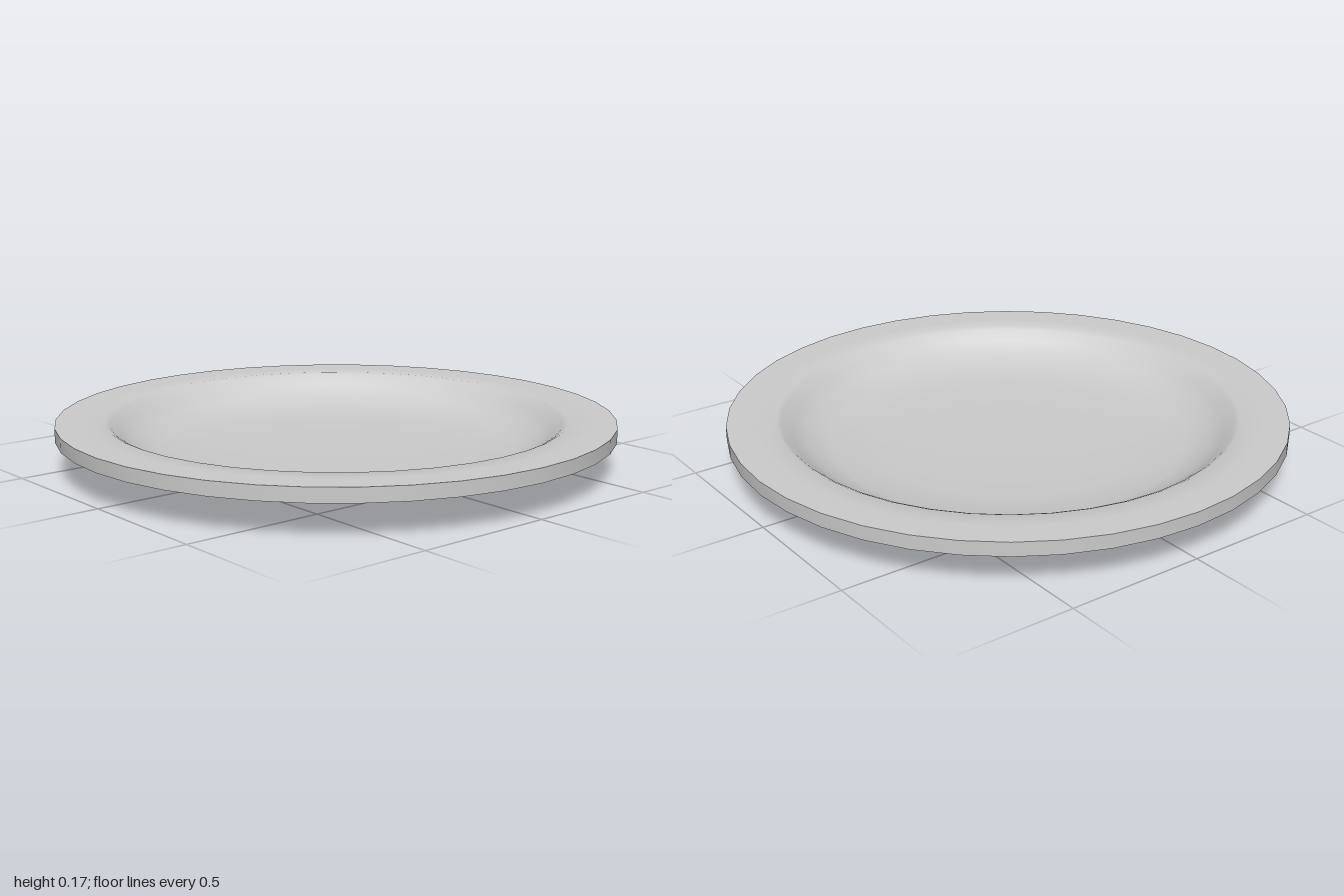
import * as THREE from 'three';
import { toCreasedNormals } from 'three/addons/utils/BufferGeometryUtils.js';

const SEGMENTS = 40;

export function createModel() {
  const group = new THREE.Group();
  group.name = 'plate';

  // Closed cross-section: underside from the centre outwards, then back over the top
  const profile = [
    // underside
    [0, 0], [0.3, 0], [0.48, 0.006], [0.65, 0.02], [0.75, 0.065],
    [0.81, 0.102], [0.84, 0.113], [0.89, 0.118], [1, 0.118],
    // outer edge and flat rim
    [1, 0.168], [0.9, 0.168], [0.825, 0.168],
    // sloping wall and shallow floor
    [0.808, 0.16], [0.77, 0.127], [0.72, 0.093], [0.64, 0.065], [0.48, 0.054], [0.3, 0.05], [0, 0.05],
  ].map(([r, y]) => new THREE.Vector2(r, y));

  // Smooth surface with sharp edges only around the outer edge
  const geometry = toCreasedNormals(new THREE.LatheGeometry(profile, SEGMENTS), THREE.MathUtils.degToRad(50));
  const dish = new THREE.Mesh(geometry, new THREE.MeshStandardMaterial({ color: 0xcccccc }));
  dish.name = 'dish';
  group.add(dish);

  return group;
}
